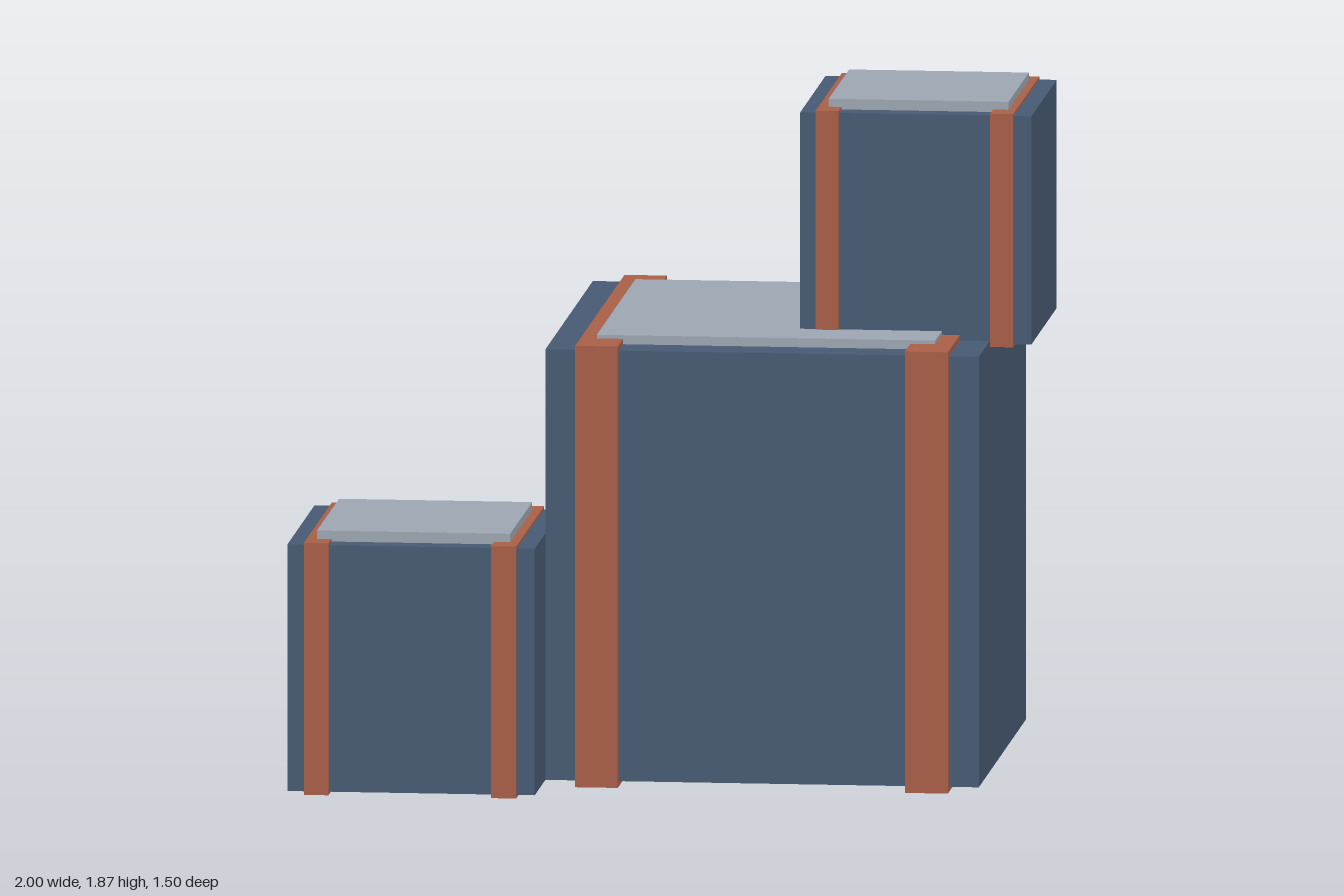
import * as THREE from 'three';

const material = (name, color) => {
  const m = new THREE.MeshStandardMaterial({ color });
  m.name = name;
  return m;
};

// Box spanning the given [min, max] ranges
function block(name, mat, [x0, x1], [y0, y1], [z0, z1]) {
  const mesh = new THREE.Mesh(new THREE.BoxGeometry(x1 - x0, y1 - y0, z1 - z0), mat);
  mesh.position.set((x0 + x1) / 2, (y0 + y1) / 2, (z0 + z1) / 2);
  mesh.name = name;
  return mesh;
}

export function createModel() {
  const slate = material('slate blue', 0x475a73);
  const rust = material('rust', 0xa85f47);
  const grey = material('pale grey', 0x9ca6b1);

  // Each crate: body, two wrapping straps and a raised lid panel
  const crates = [
    {
      name: 'largeCrate',
      x: [-0.315, 0.885], y: [0.015, 1.215], z: [-0.732, 0.467],
      straps: [[-0.23, -0.112], [0.683, 0.802]], strapY: [0, 1.23], strapZ: [-0.755, 0.492],
      lidX: [-0.185, 0.752], lidTop: 1.24, lidZ: [-0.622, 0.355],
    },
    {
      name: 'smallCrate',
      x: [-1, -0.315], y: [0.015, 0.702], z: [0.052, 0.737],
      straps: [[-0.953, -0.885], [-0.435, -0.365]], strapY: [0.007, 0.709], strapZ: [0.04, 0.75],
      lidX: [-0.925, -0.39], lidTop: 0.732, lidZ: [0.115, 0.672],
    },
    {
      name: 'topCrate',
      x: [0.36, 1], y: [1.207, 1.843], z: [-0.452, 0.188],
      straps: [[0.404, 0.467], [0.887, 0.951]], strapY: [1.2, 1.85], strapZ: [-0.463, 0.2],
      lidX: [0.432, 0.93], lidTop: 1.872, lidZ: [-0.39, 0.125],
    },
  ];

  const model = new THREE.Group();
  model.name = 'stackedCrates';
  for (const c of crates) {
    const crate = new THREE.Group();
    crate.name = c.name;
    crate.add(block('body', slate, c.x, c.y, c.z));
    c.straps.forEach((x, i) => crate.add(block(i ? 'leftStrap' : 'rightStrap', rust, x, c.strapY, c.strapZ)));
    crate.add(block('lid', grey, c.lidX, [c.y[1] - 0.01, c.lidTop], c.lidZ));
    model.add(crate);
  }
  return model;
}
